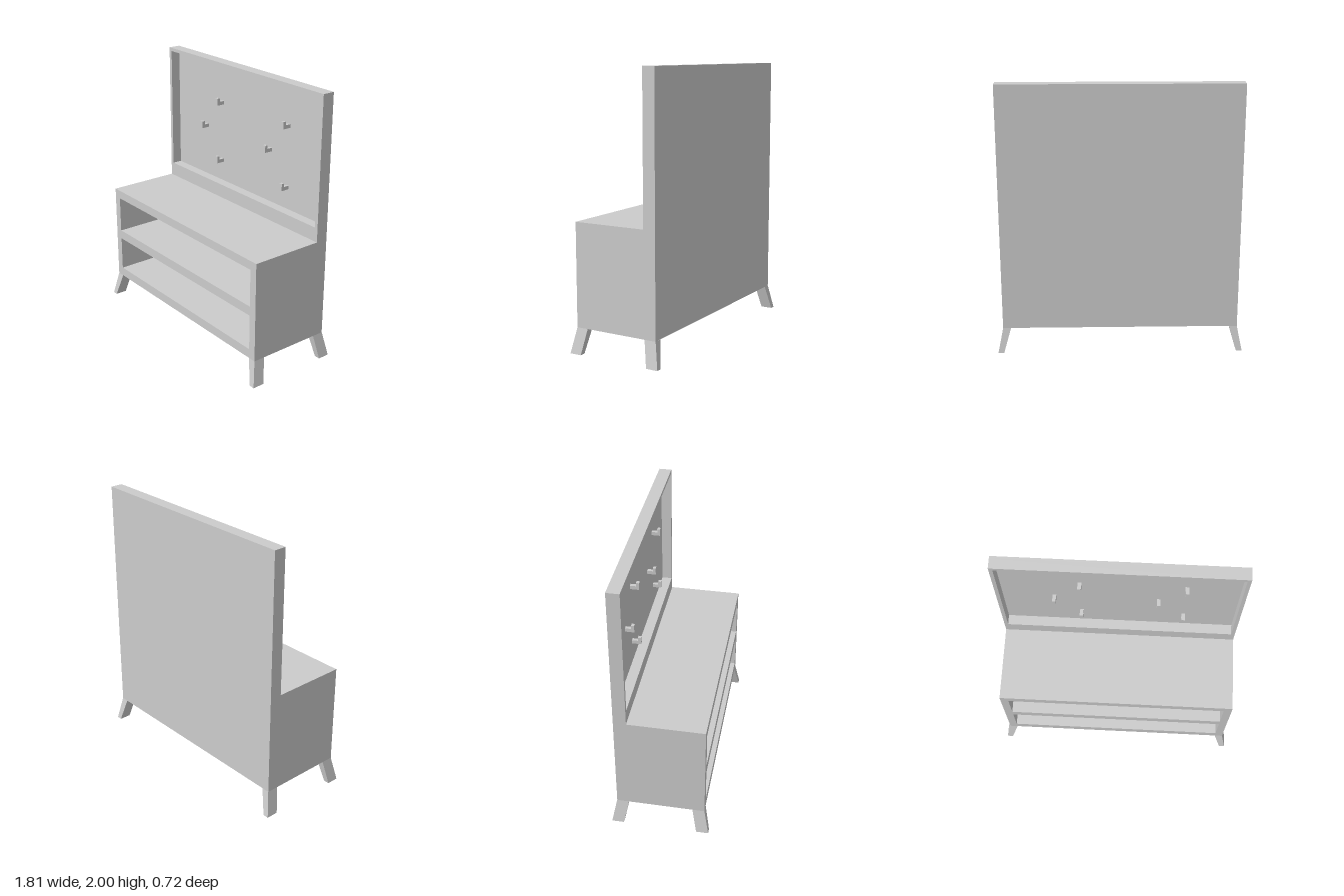
import * as THREE from 'three';

const material = new THREE.MeshStandardMaterial({ color: 0xcccccc, flatShading: true });

const W = 0.867, BASE = 0.185, DESK = 0.935, TOP = 2;
const FRONT = 0.323, BOARD = -0.23, INNER = -0.305, BACK = -0.322;

const rect = (Type, x0, x1, y0, y1) => new Type([
  new THREE.Vector2(x0, y0), new THREE.Vector2(x1, y0),
  new THREE.Vector2(x1, y1), new THREE.Vector2(x0, y1),
]);

function addMesh(parent, name, geometry) {
  const mesh = new THREE.Mesh(geometry, material);
  mesh.name = name;
  parent.add(mesh);
  return mesh;
}

// Rectangular frame with rectangular openings, running from z0 to z1
function frame(y0, y1, z0, z1, openings) {
  const shape = rect(THREE.Shape, -W, W, y0, y1);
  for (const [hw, a, b] of openings) shape.holes.push(rect(THREE.Path, -hw, hw, a, b));
  return new THREE.ExtrudeGeometry(shape, { depth: z1 - z0, bevelEnabled: false }).translate(0, 0, z0);
}

// Splayed leg: a box whose foot shifts outward and narrows
function legGeometry(sx, sz) {
  const g = new THREE.BoxGeometry(1, 1, 1);
  const p = g.attributes.position;
  for (let i = 0; i < p.count; i++) {
    const top = p.getY(i) > 0, outX = p.getX(i) * sx > 0, outZ = p.getZ(i) * sz > 0;
    const x = top ? (outX ? W : 0.808) : (outX ? 0.905 : 0.862);
    const z = top ? (outZ ? FRONT : 0.235) : (outZ ? 0.359 : 0.27);
    p.setXYZ(i, sx * x, top ? BASE : 0, sz * z);
  }
  g.computeVertexNormals();
  return g;
}

// Hook profile: arm reaching out from the board with an upturned tip
function hookGeometry() {
  const width = 0.026, reach = 0.065, h = 0.027;
  const profile = [[0, -h], [reach, -h], [reach, h], [reach - 0.022, h], [reach - 0.022, 0], [0, 0]];
  const shape = new THREE.Shape(profile.map(([x, y]) => new THREE.Vector2(x, y)));
  return new THREE.ExtrudeGeometry(shape, { depth: width, bevelEnabled: false })
    .translate(0, 0, -width / 2).rotateY(-Math.PI / 2);
}

export function createModel() {
  const model = new THREE.Group();
  model.name = 'hallBench';

  // Cabinet with two open shelves
  const shelves = [[0.808, 0.255, 0.52], [0.808, 0.59, 0.87]];
  addMesh(model, 'shelfCabinet', frame(BASE, DESK, INNER, FRONT, shelves));

  // Tall board with a recessed panel, closed by a thin back sheet
  addMesh(model, 'boardFrame', frame(DESK, TOP, INNER, BOARD, [[0.84, 1.04, 1.975]]));
  addMesh(model, 'backSheet', frame(BASE, TOP, BACK, INNER, []));

  // Staggered coat hooks
  const hooks = new THREE.Group();
  hooks.name = 'hooks';
  const hook = hookGeometry();
  for (const [y, shift] of [[1.685, 0], [1.46, -0.188], [1.222, 0]]) {
    for (const x of [-0.28, 0.465]) {
      addMesh(hooks, 'hook', hook).position.set(x + shift, y, INNER);
    }
  }
  model.add(hooks);

  // Four splayed legs
  for (const sx of [-1, 1]) for (const sz of [-1, 1]) {
    addMesh(model, (sz > 0 ? 'front' : 'back') + (sx > 0 ? 'Left' : 'Right') + 'Leg', legGeometry(sx, sz));
  }
  return model;
}
